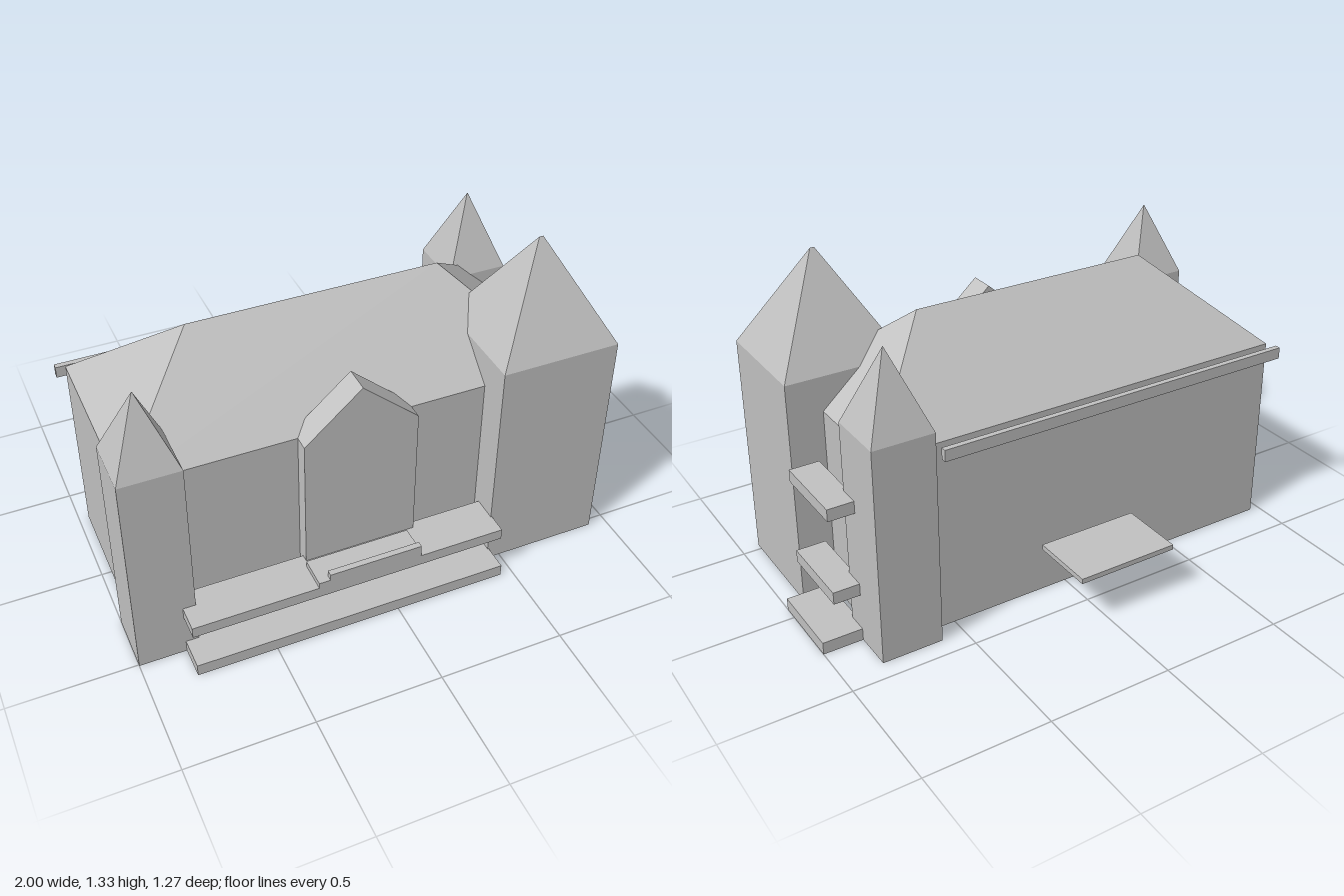
import * as THREE from 'three';

const stone = new THREE.MeshStandardMaterial({ color: 0xc0c0c0, side: THREE.DoubleSide });
stone.name = 'grey stone';

function part(name, geometry, parent) {
  const mesh = new THREE.Mesh(geometry, stone);
  mesh.name = name;
  parent.add(mesh);
  return mesh;
}

// Flat-shaded geometry from polygons, each a fan of [x, y, z] corners
function polygons(faces) {
  const pos = [];
  for (const f of faces) {
    for (let i = 1; i < f.length - 1; i++) pos.push(...f[0], ...f[i], ...f[i + 1]);
  }
  const g = new THREE.BufferGeometry();
  g.setAttribute('position', new THREE.Float32BufferAttribute(pos, 3));
  g.computeVertexNormals();
  return g;
}

// Upright walls along a closed [x, z] footprint
function walls(plan, y0, y1) {
  return polygons(plan.map(([ax, az], i) => {
    const [bx, bz] = plan[(i + 1) % plan.length];
    return [[ax, y0, az], [bx, y0, bz], [bx, y1, bz], [ax, y1, az]];
  }));
}

// Four-sided roof rising to a ridge that runs along x from r0 to r1
function hipRoof(x0, x1, z0, z1, eave, top, r0, r1, rz) {
  const a = [x0, eave, z1], b = [x1, eave, z1], c = [x1, eave, z0], d = [x0, eave, z0];
  const l = [r0, top, rz], r = [r1, top, rz];
  return polygons([[a, b, r, l], [b, c, r], [c, d, l, r], [d, a, l]]);
}

// Box given by its limits, hollow from below
function slab(x0, x1, y0, y1, z0, z1) {
  const g = new THREE.BoxGeometry(x1 - x0, y1 - y0, z1 - z0);
  const index = Array.from(g.index.array);
  index.splice(18, 6);
  g.setIndex(index);
  g.clearGroups();
  return g.translate((x0 + x1) / 2, (y0 + y1) / 2, (z0 + z1) / 2);
}

export function createModel() {
  const model = new THREE.Group();
  model.name = 'castle';
  const eave = 0.785;

  // One continuous outer wall around hall, bay and towers
  const footprint = [
    [-1, 0.27], [-1, 0.505], [-0.765, 0.505], [-0.765, 0.4],
    [-0.31, 0.4], [-0.31, 0.46], [0.14, 0.46], [0.14, 0.4],
    [0.445, 0.4], [0.445, 0.53], [0.925, 0.53], [0.925, 0.08],
    [0.785, 0.08], [0.785, -0.175], [0.84, -0.175], [0.84, -0.42],
    [0.595, -0.42], [0.595, -0.345], [-0.96, -0.345], [-0.96, 0.27],
  ];
  part('outerWall', walls(footprint, 0, eave), model);
  part('mainRoof', hipRoof(-0.96, 0.785, -0.345, 0.4, eave, 1.12, -0.585, 0.415, 0.03), model);

  // Gable over the front bay
  const gable = new THREE.Shape([[-0.31, eave], [0.14, eave], [-0.085, 0.985]]
    .map(([x, y]) => new THREE.Vector2(x, y)));
  part('bayGable', new THREE.ExtrudeGeometry(gable, { depth: 0.107, bevelEnabled: false })
    .translate(0, 0, 0.353), model);

  // Tower tops: name, x0, x1, z0, z1, wall top, peak, half ridge
  const towers = [
    ['frontLeftTower', 0.445, 0.925, 0.08, 0.53, 0.925, 1.325, 0.008],
    ['frontRightTower', -1, -0.765, 0.27, 0.505, 0.88, 1.167, 0.001],
    ['backLeftTower', 0.595, 0.84, -0.42, -0.175, 0.875, 1.18, 0.001],
  ];
  for (const [name, x0, x1, z0, z1, top, peak, half] of towers) {
    const tower = new THREE.Group();
    tower.name = name;
    const cx = (x0 + x1) / 2;
    part('upperWall', walls([[x0, z1], [x1, z1], [x1, z0], [x0, z0]], eave, top), tower);
    part('spire', hipRoof(x0, x1, z0, z1, top, peak, cx - half, cx + half, (z0 + z1) / 2), tower);
    model.add(tower);
  }

  // Front terrace and stepped balcony
  part('frontTerrace', slab(-0.815, 0.45, 0, 0.05, 0.43, 0.633), model);
  part('frontBalcony', slab(-0.815, 0.45, 0.18, 0.226, 0.43, 0.61), model);
  part('balconyStep', slab(-0.32, 0.1, 0.226, 0.25, 0.485, 0.61), model);
  part('balconyRail', slab(-0.275, 0.1, 0.25, 0.276, 0.585, 0.61), model);

  // Side ledges between the two left towers
  for (const [y, x1] of [[0, 1], [0.2, 0.945], [0.55, 0.945]]) {
    part('sideLedge', slab(0.825, x1, y, y + 0.05, -0.26, 0.06), model);
  }

  // Back gutter and canopy
  part('backGutter', slab(-0.995, 0.545, 0.728, 0.775, -0.388, -0.365), model);
  part('backCanopy', slab(-0.295, 0.125, 0.203, 0.224, -0.637, -0.37), model);

  return model;
}
